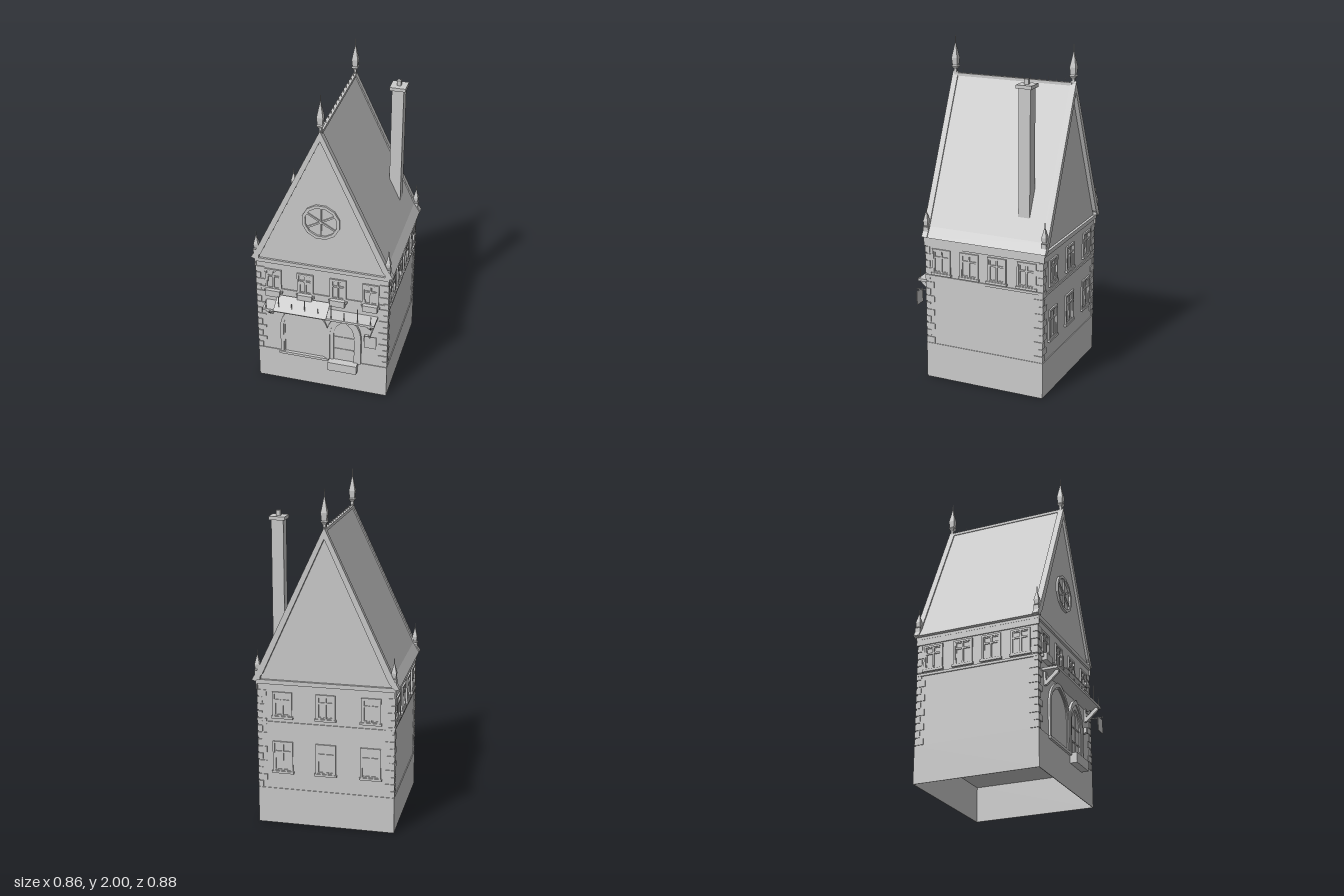
import * as THREE from 'three';

const mat = new THREE.MeshStandardMaterial({ color: 0xcccccc, flatShading: true, side: THREE.DoubleSide });

function add(parent, name, geo, x = 0, y = 0, z = 0) {
  const m = new THREE.Mesh(geo, mat);
  m.name = name;
  m.position.set(x, y, z);
  parent.add(m);
  return m;
}

// box given by its limits
function box(parent, name, x0, x1, y0, y1, z0, z1) {
  return add(parent, name, new THREE.BoxGeometry(x1 - x0, y1 - y0, z1 - z0),
    (x0 + x1) / 2, (y0 + y1) / 2, (z0 + z1) / 2);
}

const shapeOf = pts => new THREE.Shape(pts.map(p => new THREE.Vector2(p[0], p[1])));
const extrude = (shape, depth) => new THREE.ExtrudeGeometry(shape, { depth, bevelEnabled: false, curveSegments: 12 });
const rect = (x, y) => [[-x, -y], [x, -y], [x, y], [-x, y]];

// rectangular ring
function frame(w, h, t, depth) {
  const s = shapeOf(rect(w / 2, h / 2));
  s.holes.push(shapeOf(rect(w / 2 - t, h / 2 - t)));
  return extrude(s, depth);
}

// outline of a pointed arch standing on y = 0
function archPoints(w, spring, h) {
  const s = new THREE.Shape();
  const c = spring + (h - spring) * 0.72;
  s.moveTo(-w / 2, 0);
  s.lineTo(-w / 2, spring);
  s.quadraticCurveTo(-w / 2, c, 0, h);
  s.quadraticCurveTo(w / 2, c, w / 2, spring);
  s.lineTo(w / 2, 0);
  return s.getPoints(8);
}

function archBand(parent, name, x, y, w, spring, h, t, z, depth) {
  const pts = archPoints(w, spring, h).concat(archPoints(w - 2 * t, spring, h - 1.3 * t).reverse());
  add(parent, name, extrude(new THREE.Shape(pts), depth), x, y, z);
}

// cross window on a wall plane at local z
function makeWindow(parent, x, y0, y1, w, z) {
  const g = new THREE.Group();
  g.name = 'window';
  const h = y1 - y0;
  add(g, 'windowFrame', frame(w, h, 0.012, 0.009));
  add(g, 'casement', frame(w - 0.024, h - 0.024, 0.006, 0.005));
  box(g, 'mullion', -0.005, 0.005, -h / 2 + 0.01, h / 2 - 0.01, 0, 0.007);
  box(g, 'transom', -w / 2 + 0.01, w / 2 - 0.01, h * 0.14, h * 0.14 + 0.01, 0, 0.007);
  box(g, 'windowSill', -w / 2 - 0.006, w / 2 + 0.006, -h / 2 - 0.006, -h / 2 + 0.008, 0, 0.014);
  g.position.set(x, (y0 + y1) / 2, z);
  parent.add(g);
}

// square spire with a thin tip
function finial(parent, x, y, z, s, h) {
  const profile = [[0.008, 0], [0.008, 0.12], [0.02, 0.2], [0.015, 0.23], [0.019, 0.42], [0.003, 0.8], [0.002, 1], [0, 1]];
  const geo = new THREE.LatheGeometry(profile.map(p => new THREE.Vector2(p[0] * s * 1.3, p[1] * h)), 4);
  add(parent, 'finial', geo, x, y, z).rotation.y = Math.PI / 4;
}

// roof layer following both slopes with a flared eave
function roofLayer(parent, name, lift, thick, z0, z1) {
  const up = [[0, 1.775 + lift * 2], [0.388 + lift, 0.945], [0.425 + lift * 0.5, 0.885 + lift * 0.5]];
  const low = [[0.405, 0.88], [0.388 - thick, 0.925], [0, 1.775 - thick * 2.2]];
  const right = up.concat(low);
  const left = right.slice(1, -1).reverse().map(p => [-p[0], p[1]]);
  add(parent, name, extrude(shapeOf(right.concat(left)), z1 - z0), 0, 0, z0);
}

export function createModel() {
  const house = new THREE.Group();
  house.name = 'gabledHouse';
  const FRONT = 0.325, BACK = -0.415, HALF = 0.4, MID = (FRONT + BACK) / 2;

  // open-bottomed plinth, walls and gables
  const plinth = add(house, 'plinth', frame(0.81, FRONT - BACK + 0.01, 0.004, 0.22), 0, 0.22, MID);
  plinth.rotation.x = Math.PI / 2;
  box(house, 'walls', -HALF, HALF, 0.219, 0.885, BACK, FRONT);
  box(house, 'plinthTop', -0.404, 0.404, 0.215, 0.219, BACK - 0.004, FRONT + 0.004);
  add(house, 'gableWalls', extrude(shapeOf([[-0.39, 0.88], [0.39, 0.88], [0, 1.765]]), FRONT - BACK), 0, 0, BACK);

  // cornices and string courses
  box(house, 'cornice', -0.408, 0.408, 0.865, 0.89, BACK - 0.015, FRONT + 0.012);
  for (const s of [-1, 1]) {
    const a = s * 0.4, b = s * 0.407;
    box(house, 'eaveMoulding', Math.min(a, b), Math.max(a, b), 0.83, 0.87, BACK - 0.012, FRONT + 0.012);
    box(house, 'sideStringCourse', Math.min(a, b), Math.max(a, b), 0.637, 0.652, BACK - 0.005, FRONT + 0.005);
  }
  box(house, 'frontStringCourse', -HALF, HALF, 0.672, 0.686, FRONT, FRONT + 0.006);
  box(house, 'backStringCourse', -HALF, HALF, 0.62, 0.635, BACK - 0.006, BACK);

  // corner stones, alternately long and short
  for (const sx of [-1, 1]) for (const [z, sz] of [[FRONT, 1], [BACK, -1]]) {
    for (let i = 0; i < 14; i++) {
      const long = i % 2, lx = long ? 0.055 : 0.03, lz = long ? 0.03 : 0.055;
      const y = 0.222 + i * 0.0435;
      add(house, 'cornerStone', new THREE.BoxGeometry(lx, 0.036, lz),
        sx * (HALF + 0.005 - lx / 2), y + 0.02, z + sz * (0.005 - lz / 2));
    }
  }

  // roof, barge boards and ridge
  roofLayer(house, 'roof', 0, 0.012, BACK - 0.015, FRONT + 0.005);
  roofLayer(house, 'frontBargeBoard', 0.008, 0.022, 0.305, 0.34);
  roofLayer(house, 'backBargeBoard', 0.008, 0.022, -0.44, -0.405);
  box(house, 'ridgeCap', -0.01, 0.01, 1.765, 1.782, BACK, FRONT);
  for (let i = 0; i < 13; i++) {
    add(house, 'ridgeSpike', new THREE.ConeGeometry(0.003, 0.03, 4), 0, 1.795, -0.375 + i * 0.054);
  }
  for (const z of [0.322, -0.422]) {
    finial(house, 0, 1.775, z, 1.05, 0.225);
    for (const x of [-0.396, 0.396]) {
      box(house, 'finialBase', x - 0.016, x + 0.016, 0.89, 0.945, z - 0.016, z + 0.016);
      finial(house, x, 0.92, z, 0.85, 0.145);
    }
  }

  // chimney
  box(house, 'chimneyShaft', 0.265, 0.335, 1.04, 1.8, -0.303, -0.233);
  box(house, 'chimneyCap', 0.253, 0.347, 1.795, 1.815, -0.315, -0.221);
  box(house, 'chimneyPot', 0.288, 0.312, 1.815, 1.845, -0.28, -0.256);

  // round window: rim, hub and six spokes
  const rose = new THREE.Group();
  rose.name = 'roseWindow';
  rose.position.set(0, 1.2, FRONT);
  const circle = r => Array.from({ length: 12 }, (_, i) => [r * Math.cos((i + 0.5) * Math.PI / 6), r * Math.sin((i + 0.5) * Math.PI / 6)]);
  const rim = shapeOf(circle(0.114));
  rim.holes.push(shapeOf(circle(0.096)));
  add(rose, 'roseRim', extrude(rim, 0.012));
  for (let i = 0; i < 3; i++) {
    add(rose, 'roseSpoke', new THREE.BoxGeometry(0.01, 0.196, 0.008), 0, 0, 0.004).rotation.z = i * Math.PI / 3;
  }
  add(rose, 'roseHub', new THREE.CylinderGeometry(0.01, 0.01, 0.012, 8), 0, 0, 0.006).rotation.x = Math.PI / 2;
  house.add(rose);

  // front windows with flower boxes
  for (const x of [-0.297, -0.1, 0.1, 0.297]) {
    makeWindow(house, x, 0.66, 0.818, 0.1, FRONT);
    box(house, 'flowerBox', x - 0.045, x + 0.045, 0.635, 0.678, FRONT, 0.355);
  }
  // side windows
  for (const s of [-1, 1]) {
    const side = new THREE.Group();
    side.name = 'sideWindows';
    side.rotation.y = s * Math.PI / 2;
    for (const z of [0.225, 0.045, -0.13, -0.317]) makeWindow(side, -s * z, 0.664, 0.818, 0.118, HALF);
    house.add(side);
  }
  // back windows in two rows
  const rear = new THREE.Group();
  rear.name = 'backWindows';
  rear.rotation.y = Math.PI;
  for (const x of [-0.255, 0, 0.265]) {
    makeWindow(rear, x, 0.664, 0.818, 0.115, -BACK);
    makeWindow(rear, x, 0.325, 0.515, 0.12, -BACK);
  }
  house.add(rear);

  // large arched shop window
  archBand(house, 'shopArch', -0.11, 0.215, 0.3, 0.19, 0.37, 0.02, FRONT, 0.012);
  archBand(house, 'shopArchInner', -0.11, 0.215, 0.26, 0.19, 0.344, 0.008, FRONT, 0.006);
  box(house, 'shopSill', -0.268, 0.04, 0.203, 0.22, FRONT, FRONT + 0.018);

  // pointed doorway with panelled door and step
  archBand(house, 'doorArchOuter', 0.137, 0.22, 0.215, 0.18, 0.35, 0.022, FRONT, 0.016);
  archBand(house, 'doorArchInner', 0.137, 0.22, 0.171, 0.18, 0.321, 0.022, FRONT, 0.01);
  add(house, 'door', extrude(new THREE.Shape(archPoints(0.127, 0.18, 0.292)), 0.003), 0.137, 0.22, FRONT);
  for (const y of [0.3, 0.39]) box(house, 'doorRail', 0.075, 0.199, y, y + 0.008, FRONT, FRONT + 0.007);
  box(house, 'doorStile', 0.133, 0.141, 0.22, 0.505, FRONT, FRONT + 0.006);
  box(house, 'doorStep', 0.045, 0.225, 0.16, 0.22, 0.32, 0.373);

  // canopy shelf with brackets and rods, sloping awning above
  box(house, 'canopy', -0.342, 0.342, 0.575, 0.59, FRONT, 0.418);
  for (const x of [-0.31, 0.31]) {
    const b = extrude(shapeOf([[0, 0.495], [0.018, 0.498], [0.088, 0.562], [0.088, 0.576], [0.072, 0.576], [0.012, 0.522], [0.012, 0.576], [0, 0.576]]), 0.016);
    add(house, 'canopyBracket', b, x + 0.008, 0, FRONT).rotation.y = -Math.PI / 2;
  }
  for (let i = 0; i < 9; i++) {
    const h = i % 2 ? 0.1 : 0.06;
    add(house, 'canopyRod', new THREE.CylinderGeometry(0.003, 0.003, h, 5), -0.32 + i * 0.08, 0.588 + h / 2, 0.412);
  }
  const awning = box(house, 'awning', -0.268, 0.056, 0.62, 0.624, 0.335, 0.447);
  awning.rotation.x = 0.46;

  // hanging sign and wall box
  box(house, 'signArm', 0.317, 0.323, 0.512, 0.517, FRONT, 0.438);
  box(house, 'signBoard', 0.285, 0.357, 0.425, 0.51, 0.416, 0.421);
  box(house, 'wallBox', 0.265, 0.29, 0.413, 0.445, FRONT, 0.352);

  return house;
}
